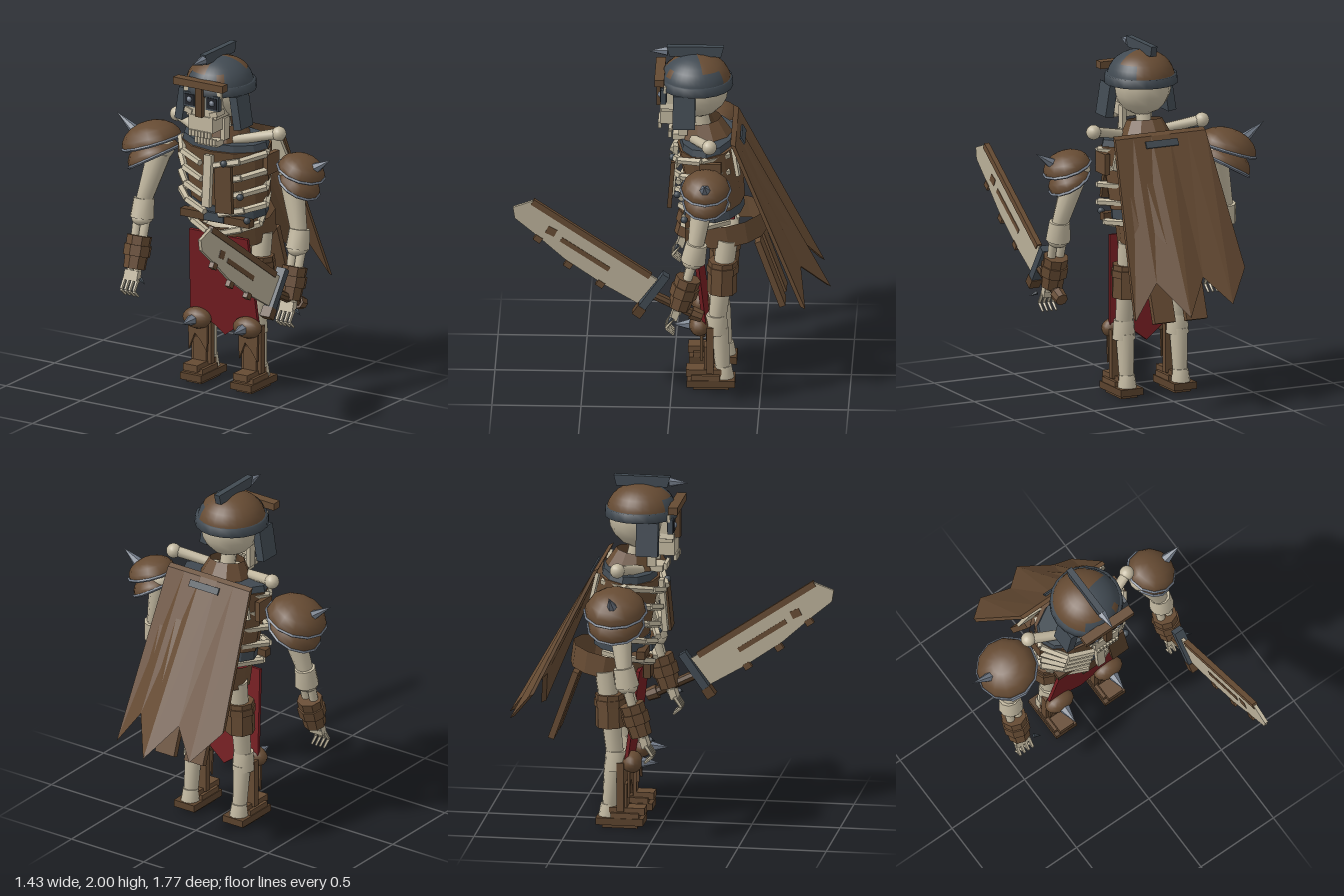
import * as THREE from 'three';
import { toCreasedNormals } from 'three/addons/utils/BufferGeometryUtils.js';

const mat = (name, color) => new THREE.MeshStandardMaterial({ name, color, side: THREE.DoubleSide });
const V = (p) => new THREE.Vector3(...p);

export function createModel() {
  const bone = mat('bone', 0xc2b8a0), brown = mat('leather', 0x664b33), wood = mat('dark wood', 0x5a422c);
  const steel = mat('dark steel', 0x414a52), light = mat('spike steel', 0x727b88), red = mat('red cloth', 0x741d21);
  const black = mat('eye socket', 0x22252b), blade = mat('blade', 0xb8ae97);

  const model = new THREE.Group();
  model.name = 'skeletonWarrior';
  const root = new THREE.Group();
  root.name = 'body';
  root.position.x = 0.02;
  model.add(root);

  const add = (name, geo, m, pos = [0, 0, 0], rot = [0, 0, 0], scale = [1, 1, 1], parent = root) => {
    const mesh = new THREE.Mesh(geo, m);
    mesh.name = name;
    mesh.position.set(...pos);
    mesh.rotation.set(...rot);
    mesh.scale.set(...scale);
    parent.add(mesh);
    return mesh;
  };
  const flat = (geo) => {
    const g = geo.toNonIndexed();
    g.computeVertexNormals();
    return g;
  };
  const box = (name, m, size, pos, rot) => add(name, new THREE.BoxGeometry(...size), m, pos, rot);
  const ball = (name, m, r, pos, scale) => add(name, new THREE.SphereGeometry(r, 14, 10), m, pos, [0, 0, 0], scale);
  // Tapered rod from a to b: bones are smooth, everything else faceted
  const rod = (name, m, a, b, r0, r1 = r0, n = 8) => {
    const d = V(b).sub(V(a));
    const geo = new THREE.CylinderGeometry(r1, r0, d.length(), n);
    const mesh = add(name, m === bone ? toCreasedNormals(geo, 0.9) : flat(geo), m);
    mesh.position.copy(V(a)).addScaledVector(d, 0.5);
    mesh.quaternion.setFromUnitVectors(new THREE.Vector3(0, 1, 0), d.normalize());
    return mesh;
  };
  // Box running between two (y, z) points
  const strip = (name, m, x, w, t, [y0, z0], [y1, z1]) =>
    box(name, m, [w, Math.hypot(y1 - y0, z1 - z0), t], [x, (y0 + y1) / 2, (z0 + z1) / 2], [Math.atan2(z1 - z0, y1 - y0), 0, 0]);
  const shapeOf = (pts) => new THREE.Shape(pts.map(([x, y]) => new THREE.Vector2(x, y)));
  const slab = (pts, depth) => new THREE.ExtrudeGeometry(shapeOf(pts), { depth, bevelEnabled: false });
  const both = (fn) => [-1, 1].forEach(fn);

  // Skull
  ball('cranium', bone, 0.175, [0, 1.76, -0.14], [0.95, 1, 1]);
  box('face', bone, [0.2, 0.12, 0.16], [0, 1.7, -0.02]);
  box('brow', bone, [0.25, 0.04, 0.1], [0, 1.785, 0]);
  box('upperJaw', bone, [0.16, 0.09, 0.14], [0, 1.605, 0]);
  box('lowerJaw', bone, [0.13, 0.035, 0.1], [0, 1.475, -0.05]);
  for (let i = -3; i <= 3; i++) {
    box('upperTooth', bone, [0.017, 0.035, 0.02], [i * 0.021, 1.547, 0.072]);
    box('lowerTooth', bone, [0.017, 0.035, 0.02], [i * 0.02, 1.49, 0.015]);
  }
  both((s) => {
    box('eyeFrame', steel, [0.086, 0.085, 0.03], [s * 0.075, 1.735, 0.05]);
    box('eyeSocket', black, [0.066, 0.064, 0.04], [s * 0.075, 1.735, 0.05]);
    ball('eye', light, 0.018, [s * 0.075, 1.737, 0.066]);
    box('cheekbone', bone, [0.05, 0.03, 0.08], [s * 0.085, 1.67, 0.03], [0, 0, s * 0.3]);
    box('jawHinge', bone, [0.025, 0.13, 0.05], [s * 0.08, 1.56, -0.06]);
  });

  // Helmet: dome with a steel section, rim, crest and guards
  const dome = (name, m, r, from, len, top = 0, arc = Math.PI / 2) =>
    add(name, new THREE.SphereGeometry(r, 16, 8, from, len, top, arc), m, [0, 1.8, -0.13], [0, 0, 0], [1, 0.82, 1.03]);
  dome('helmetSteel', steel, 0.19, 1.6, 2.5);
  dome('helmetRusted', brown, 0.19, 4.1, Math.PI * 2 - 2.5);
  dome('helmetRustPatch', brown, 0.192, 3.4, 0.72, 0, 0.95);
  dome('helmetRustPatch', brown, 0.192, 2.05, 0.25, 0.95, 0.3);
  dome('helmetSteelPatch', steel, 0.192, 0.9, 0.72, 1.0, 0.45);
  add('helmetRim', new THREE.LatheGeometry([[0.185, 0], [0.208, 0], [0.205, 0.05], [0.185, 0.05]].map((p) => new THREE.Vector2(...p)), 20), steel, [0, 1.77, -0.13]);
  add('crest', slab([[-0.27, 1.94], [0.02, 1.94], [0.035, 2], [-0.285, 2]], 0.036), steel, [0.01, 0, 0], [0, -Math.PI / 2, 0]);
  rod('crestSpike', light, [-0.008, 1.966, 0.03], [-0.008, 1.966, 0.14], 0.028, 0, 6);
  box('browBar', brown, [0.33, 0.042, 0.055], [0, 1.84, 0.072]);
  box('noseGuard', wood, [0.044, 0.17, 0.035], [0, 1.735, 0.075]);
  both((s) => box('cheekGuard', steel, [0.05, 0.19, 0.125], [s * 0.183, 1.675, -0.068], [0, 0, s * 0.16]));

  // Neck and collar
  rod('neck', bone, [0, 1.4, -0.2], [0, 1.65, -0.14], 0.045);
  add('collar', flat(new THREE.CylinderGeometry(0.1, 0.15, 0.1, 10, 1, true)), brown, [0, 1.515, -0.18], [0.15, 0, 0]);

  // Torso shell, leaning slightly back toward the waist
  add('chestArmour', flat(new THREE.CylinderGeometry(1, 0.88, 0.36, 12)), brown, [0, 1.26, -0.225], [0.12, 0, 0], [0.28, 1, 0.18]);
  add('neckBand', flat(new THREE.CylinderGeometry(0.95, 1, 0.05, 12)), steel, [0, 1.45, -0.195], [0.1, 0, 0], [0.28, 1, 0.16]);
  add('waistBand', flat(new THREE.CylinderGeometry(1, 1, 0.07, 12)), steel, [0, 1.06, -0.24], [0.1, 0, 0], [0.235, 1, 0.16]);
  box('waistPlate', wood, [0.46, 0.045, 0.05], [0, 1.01, -0.1]);
  box('waistBuckle', steel, [0.13, 0.05, 0.02], [0, 1.02, -0.07]);
  box('sternum', bone, [0.05, 0.3, 0.03], [0, 1.25, -0.005], [-0.08, 0, 0]);
  box('chestPlank', wood, [0.11, 0.27, 0.025], [0.115, 1.22, 0.005], [-0.08, 0, 0.08]);
  both((s) => {
    [1.38, 1.28, 1.18, 1.08, 0.96].forEach((y, i) => {
      const z = -i * 0.016, w = i === 4 ? 0.85 : 1;
      const pts = [[0.2, y + 0.05, -0.32], [0.285, y + 0.035, -0.17], [0.19, y + 0.005, -0.04 + z], [0.045, y - 0.03, 0.005 + z]]
        .map(([x, py, pz]) => [s * x * w, py, pz]);
      for (let k = 0; k < 3; k++) rod('rib', bone, pts[k], pts[k + 1], 0.022, 0.02, 5);
    });
    rod('clavicle', bone, [s * 0.1, 1.475, -0.12], [s * 0.33, 1.53, -0.21], 0.027, 0.03);
    ball('clavicleEnd', bone, 0.042, [s * 0.34, 1.53, -0.215]);
    box('shoulderBlade', bone, [0.1, 0.16, 0.02], [s * 0.23, 1.4, -0.36], [0.2, 0, s * 0.3]);
    box('shoulderStrap', brown, [0.03, 0.12, 0.12], [s * 0.285, 1.35, -0.22]);
  });
  [[0.11, 1.37, 0], [0.22, 1.035, -0.07], [0.2, 1.18, -0.03]].forEach((p) => ball('stud', steel, 0.02, p));

  // Spine, pelvis, belt
  rod('spine', bone, [0, 0.86, -0.3], [0, 1.12, -0.24], 0.04);
  box('sash', red, [0.12, 0.09, 0.08], [0.05, 1.04, -0.31]);
  ball('pelvis', bone, 0.1, [0, 0.9, -0.29], [1.9, 0.65, 0.85]);
  add('belt', flat(new THREE.CylinderGeometry(0.22, 0.215, 0.13, 12, 1, true)), brown, [0, 0.93, -0.31], [0.17, 0, 0]);
  box('beltBuckle', wood, [0.13, 0.11, 0.04], [0, 0.89, -0.09]);

  // Front cloth and rear flaps
  add('loincloth', slab([[-0.195, 0.91], [-0.225, 0.4], [-0.1, 0.37], [0, 0.295], [0.1, 0.37], [0.225, 0.4], [0.195, 0.91]], 0.02), red, [0, 0.004, -0.24], [0.12, 0, 0]);
  both((s) => strip('rearFlap', brown, s * 0.1, 0.13, 0.035, [0.49, -0.62], [0.88, -0.48]));

  // Ragged cape: a slab whose columns run from the shoulders to uneven tips
  const tips = [[-0.36, 0.79, -0.7], [-0.22, 0.62, -0.83], [-0.08, 0.77, -0.735], [0.065, 0.58, -0.875], [0.2, 0.76, -0.71], [0.345, 0.56, -0.74]];
  const cape = new THREE.BoxGeometry(1, 1, 0.028, 5, 1, 1);
  const cp = cape.attributes.position;
  for (let i = 0; i < cp.count; i++) {
    const u = cp.getX(i) + 0.5, [x, y, z] = tips[Math.round(u * 5)], t = cp.getZ(i);
    if (cp.getY(i) > 0) cp.setXYZ(i, -0.29 + u * 0.565, 1.515 + t * 0.5, -0.345 + t);
    else cp.setXYZ(i, x, y + t * 0.5, z + t);
  }
  add('cape', flat(cape), brown);
  strip('capeClasp', steel, 0, 0.2, 0.01, [1.45, -0.404], [1.485, -0.384]);

  both((s) => {
    // Arm
    const x = s * 0.52;
    ball('shoulder', bone, 0.07, [s * 0.43, 1.32, -0.2]);
    rod('upperArm', bone, [s * 0.44, 1.3, -0.19], [x, 1.0, -0.145], 0.07, 0.046, 10);
    rod('elbow', bone, [x, 1.02, -0.15], [x, 0.91, -0.13], 0.06, 0.07, 10);
    ball('elbowCap', bone, 0.062, [x, 0.91, -0.13], [1, 0.7, 1]);
    both((k) => rod('forearm', bone, [x + k * 0.028, 0.92, -0.13], [x + k * 0.022, 0.6, -0.04], 0.027, 0.022));
    rod('bracer', brown, [x, 0.81, -0.105], [x, 0.63, -0.05], 0.073, 0.064);
    rod('bracerBand', brown, [x, 0.76, -0.09], [x, 0.7, -0.072], 0.08, 0.078);
    box('palm', bone, [0.09, 0.06, 0.04], [x, 0.595, -0.03], [-0.3, 0, 0]);
    for (let i = 0; i < 4; i++) {
      const fx = x + (i - 1.5) * 0.028;
      rod('finger', bone, [fx, 0.58, -0.02], [fx, 0.52, 0.02], 0.012, 0.01, 5);
      rod('fingertip', bone, [fx, 0.52, 0.02], [fx, 0.48, -0.025], 0.01, 0.007, 5);
    }
    rod('thumbClaw', steel, [x + 0.07, 0.59, -0.01], [x + 0.11, 0.57, 0.01], 0.014, 0, 5);

    // Layered pauldron with spike
    const r = s < 0 ? 0.175 : 0.138, pauldron = new THREE.Group();
    pauldron.name = 'pauldron';
    pauldron.position.set(s * 0.497, 1.34, -0.2);
    pauldron.rotation.z = -s * 0.33;
    root.add(pauldron);
    [[1, 0, 0, 0], [0.9, 0.015, -0.085, 0.18]].forEach(([k, dx, dy, a]) => {
      add('pauldronPlate', new THREE.SphereGeometry(r * k, 12, 5, 0, Math.PI * 2, 0, Math.PI / 2), brown, [s * dx, dy, 0], [0, 0, -s * a], [1, 0.7, 1], pauldron);
      const rim = new THREE.TorusGeometry(r * k, 0.009, 4, 12);
      rim.rotateX(Math.PI / 2);
      add('pauldronRim', flat(rim), light, [s * dx, dy, 0], [0, 0, -s * a], [1, 1, 1], pauldron);
    });
    rod('pauldronSpike', light, [s * 0.57, 1.36, -0.2], s < 0 ? [-0.74, 1.48, -0.2] : [0.695, 1.44, -0.2], 0.04, 0, 6);

    // Leg
    const lx = s * 0.168;
    rod('thigh', bone, [lx, 0.9, -0.31], [lx, 0.42, -0.255], 0.06, 0.05, 10);
    rod('thighCuff', brown, [lx, 0.77, -0.285], [lx, 0.58, -0.28], 0.082, 0.085);
    rod('thighCuffBand', brown, [lx, 0.74, -0.285], [lx, 0.7, -0.284], 0.09, 0.09);
    rod('knee', bone, [lx, 0.44, -0.25], [lx, 0.33, -0.25], 0.058, 0.066, 10);
    rod('shin', bone, [lx, 0.36, -0.265], [lx, 0.12, -0.285], 0.052, 0.042, 10);
    rod('ankle', bone, [lx, 0.13, -0.29], [lx, 0.05, -0.295], 0.045, 0.055, 10);
    ball('kneePad', brown, 0.09, [lx, 0.375, -0.155], [1, 0.68, 0.65]);
    rod('kneeSpike', light, [lx, 0.375, -0.1], [lx, 0.375, 0], 0.032, 0, 6);
    add('shinPlate', slab([[-0.065, 0.1], [0.065, 0.1], [0.065, 0.38], [-0.065, 0.38]], 0.04), brown, [lx, 0, -0.235]);
    add('shinTatter', slab([[-0.065, 0.36], [-0.06, 0.18], [-0.02, 0.28], [0.02, 0.24], [0.06, 0.18], [0.065, 0.36]], 0.015), brown, [lx, 0, -0.175]);
    box('shinGuard', brown, [0.085, 0.17, 0.02], [lx, 0.17, -0.19]);
    box('sole', wood, [0.14, 0.04, 0.27], [lx, 0.04, -0.22]);
    box('tread', wood, [0.1, 0.02, 0.2], [lx, 0.01, -0.22]);
    box('shoe', brown, [0.13, 0.04, 0.16], [lx, 0.07, -0.19]);
    box('shoeTop', brown, [0.095, 0.04, 0.2], [lx, 0.098, -0.18]);
  });

  // Sword held forward in the left hand
  const sx = 0.52;
  const bladeGeo = slab([[0.07, 0.8], [0.77, 1.27], [0.88, 1.23], [0.87, 1.165], [0.745, 1.06], [0.59, 0.92], [0.375, 0.77], [0.18, 0.655]], 0.02);
  add('blade', bladeGeo, blade, [sx + 0.01, 0, 0], [0, -Math.PI / 2, 0]);
  strip('bladeSpine', brown, sx, 0.03, 0.035, [1.265, 0.77], [0.82, 0.11]);
  strip('bladeGroove', brown, sx, 0.026, 0.028, [1.04, 0.61], [0.86, 0.34]);
  strip('bladeStain', brown, sx, 0.026, 0.045, [1.1, 0.69], [1.075, 0.64]);
  [[1.04, 0.74], [0.885, 0.57], [0.77, 0.39]].forEach(([y, z]) => box('bladeNotch', brown, [0.03, 0.035, 0.045], [sx, y, z], [-0.6, 0, 0]));
  strip('guard', steel, sx, 0.06, 0.045, [0.6, 0.18], [0.83, 0.02]);
  strip('guardEnd', wood, sx, 0.065, 0.055, [0.585, 0.19], [0.635, 0.155]);
  rod('grip', wood, [sx, 0.71, 0.1], [sx, 0.59, -0.14], 0.028);
  rod('pommel', brown, [sx, 0.6, -0.12], [sx, 0.575, -0.18], 0.042, 0.036);

  return model;
}
